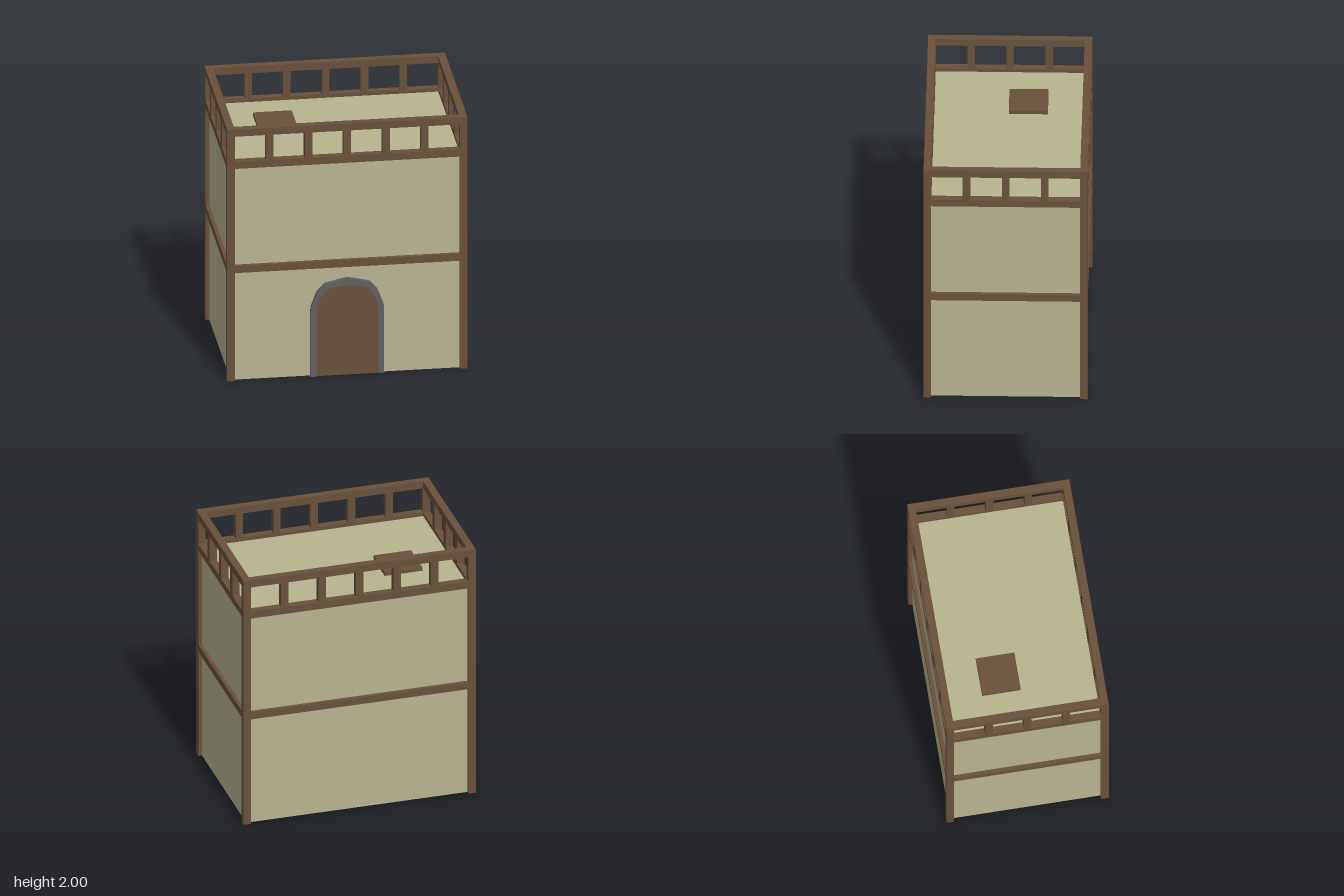
import * as THREE from 'three';

const wood = new THREE.MeshStandardMaterial({ color: 0x69513c });
const stone = new THREE.MeshStandardMaterial({ color: 0x606060 });
const plaster = new THREE.MeshStandardMaterial({ color: 0xb8b491, side: THREE.DoubleSide });

const CELL = 0.286;          // railing spacing
const T = 0.056;             // timber thickness
const X = 3 * CELL;          // wall planes, half width
const Z = 2 * CELL;          // wall planes, half depth
const ROOF = 6 * CELL;
const TOP = 2;

export function createModel() {
  const model = new THREE.Group();

  function add(name, geometry, material, x, y, z, parent = model) {
    const mesh = new THREE.Mesh(geometry, material);
    mesh.name = name;
    mesh.position.set(x, y, z);
    parent.add(mesh);
    return mesh;
  }
  const box = (name, w, h, d, x, y, z, parent) =>
    add(name, new THREE.BoxGeometry(w, h, d), wood, x, y, z, parent);

  // Thin plaster shell, open underneath
  for (const s of [1, -1]) {
    const wall = add(s > 0 ? 'frontWall' : 'backWall',
      new THREE.PlaneGeometry(2 * X, ROOF), plaster, 0, ROOF / 2, s * Z);
    if (s < 0) wall.rotation.y = Math.PI;
    add(s > 0 ? 'leftWall' : 'rightWall',
      new THREE.PlaneGeometry(2 * Z, ROOF), plaster, s * X, ROOF / 2, 0).rotation.y = s * Math.PI / 2;
  }
  add('roof', new THREE.PlaneGeometry(2 * X, 2 * Z), plaster, 0, ROOF, 0).rotation.x = -Math.PI / 2;

  // Corner posts
  for (const x of [X, -X])
    for (const z of [Z, -Z]) box('cornerPost', T, TOP, T, x, TOP / 2, z);

  // Horizontal beams running between the posts on all four sides
  const levels = { floorBeam: 0.887, roofBeam: ROOF, topRail: TOP - T / 2 };
  for (const [name, y] of Object.entries(levels)) {
    const ring = new THREE.Group();
    ring.name = name + 's';
    model.add(ring);
    for (const s of [1, -1]) {
      box(name, 2 * X - T, T, T, 0, y, s * Z, ring);
      box(name, T, T, 2 * Z - T, s * X, y, 0, ring);
    }
  }

  // Railing balusters
  const railing = new THREE.Group();
  railing.name = 'balusters';
  model.add(railing);
  const low = ROOF + T / 2, high = TOP - T;
  for (const s of [1, -1]) {
    for (let i = -2; i <= 2; i++)
      box('baluster', T, high - low, T, i * CELL, (low + high) / 2, s * Z, railing);
    for (let i = -1; i <= 1; i++)
      box('baluster', T, high - low, T, s * X, (low + high) / 2, i * CELL, railing);
  }

  // Roof hatch, filling one cell
  box('roofHatch', CELL, 0.028, CELL, -1.5 * CELL, ROOF + 0.014, -0.5 * CELL);

  // Arched doorway: right half of each outline, mirrored
  const outer = [[0.272, 0], [0.272, 0.5], [0.268, 0.55], [0.223, 0.67], [0.165, 0.732], [0, 0.77]];
  const inner = [[0.227, 0], [0.227, 0.5], [0.215, 0.58], [0.183, 0.65], [0.14, 0.69], [0, 0.72]];
  const mirrored = (half) => [...half, ...half.slice(0, -1).reverse().map(([x, y]) => [-x, y])]
    .map(([x, y]) => new THREE.Vector2(x, y));
  const extrude = (points, depth) =>
    new THREE.ExtrudeGeometry(new THREE.Shape(points), { depth, bevelEnabled: false });

  const doorway = new THREE.Group();
  doorway.name = 'doorway';
  model.add(doorway);
  const back = Z - 0.002;
  add('doorFrame', extrude([...mirrored(outer), ...mirrored(inner).reverse()], 0.6 - back),
    stone, 0, 0, back, doorway);
  add('door', extrude(mirrored(inner), 0.59 - back), wood, 0, 0, back, doorway);

  return model;
}
